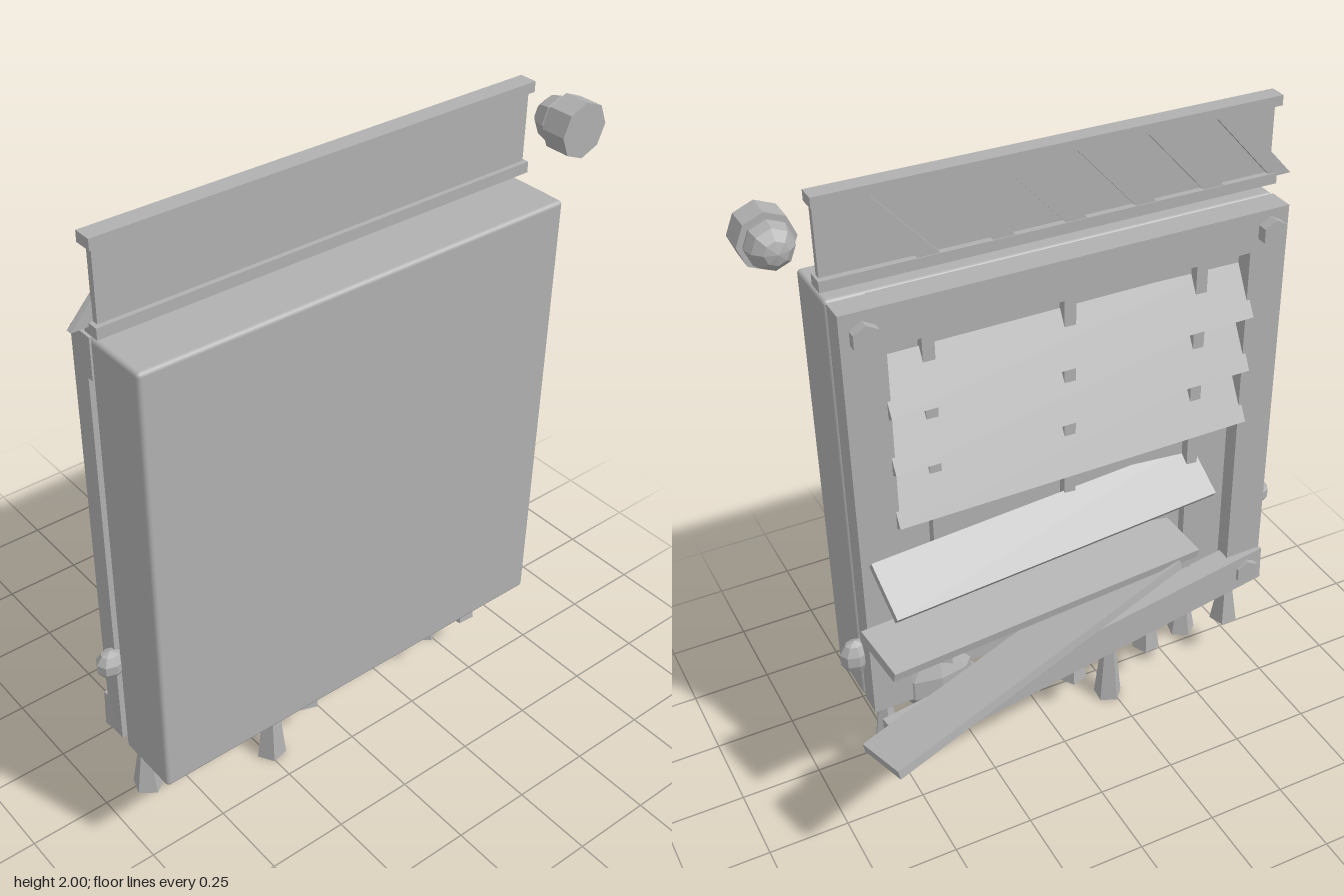
import * as THREE from 'three';
import { RoundedBoxGeometry } from 'three/addons/geometries/RoundedBoxGeometry.js';

export function createModel() {
  const root = new THREE.Group();
  const grey = new THREE.MeshStandardMaterial({ color: 0xb0b0b0 });
  grey.name = 'plain grey';

  const add = (name, geo, x = 0, y = 0, z = 0) => {
    const m = new THREE.Mesh(geo, grey);
    m.name = name;
    m.position.set(x, y, z);
    root.add(m);
    return m;
  };
  // box from its lower and upper corners
  const box = (name, a, b) => add(name,
    new THREE.BoxGeometry(b[0] - a[0], b[1] - a[1], b[2] - a[2]),
    (a[0] + b[0]) / 2, (a[1] + b[1]) / 2, (a[2] + b[2]) / 2);
  // faceted copy of a geometry
  const facet = (geo) => {
    const g = geo.toNonIndexed();
    g.computeVertexNormals();
    return g;
  };
  // board between two end centres, with its width along w
  const board = (name, a, b, w, width, thick) => {
    const p = new THREE.Vector3(...a), q = new THREE.Vector3(...b);
    const X = q.clone().sub(p), len = X.length();
    X.normalize();
    const Y = new THREE.Vector3(...w);
    Y.addScaledVector(X, -Y.dot(X)).normalize();
    const Z = X.clone().cross(Y);
    const m = add(name, new THREE.BoxGeometry(len, width, thick));
    m.quaternion.setFromRotationMatrix(new THREE.Matrix4().makeBasis(X, Y, Z));
    m.position.copy(p.add(q).multiplyScalar(0.5));
    return m;
  };

  // front slab and its backing
  add('frontPanel', new RoundedBoxGeometry(1.354, 1.354, 0.203, 2, 0.012), -0.063, 1.037, 0.2395);
  box('backingPlate', [-0.72, 0.38, 0.11], [0.595, 1.6, 0.14]);

  // frame on the back
  box('leftPost', [0.49, 0.37, 0.042], [0.614, 1.72, 0.116]);
  box('rightPost', [-0.74, 0.37, 0.055], [-0.62, 1.6, 0.118]);
  box('topRail', [-0.74, 1.59, 0.055], [0.5, 1.712, 0.137]);
  board('looseBottomRail', [-0.74, 0.435, 0.08], [0.625, 0.392, -0.11], [0, 1, 0], 0.12, 0.075);

  // hexagonal bolts
  for (const [x, y, z] of [[-0.68, 1.65, 0.04], [0.55, 1.65, 0.032], [-0.68, 0.435, 0.035]]) {
    const g = facet(new THREE.CylinderGeometry(0.042, 0.042, 0.035, 6));
    add('bolt', g, x, y, z).rotation.x = Math.PI / 2;
  }

  // upright rods and louvre slats
  for (const x of [-0.48, -0.06, 0.36]) box('slatRod', [x - 0.018, 0.4, 0.08], [x + 0.018, 1.6, 0.115]);
  for (const y of [1.46, 1.28, 1.1]) {
    board('slat', [-0.63, y, 0.082], [0.5, y, 0.07], [0, 0.15, 0.085], 0.17, 0.025);
  }

  // slats hanging loose
  board('looseSlat', [-0.51, 0.87, 0.07], [0.585, 0.88, -0.04], [0.015, 0.11, 0.145], 0.175, 0.025);
  board('looseSlat', [-0.43, 0.66, 0.045], [0.66, 0.775, -0.16], [0.025, 0.035, 0.17], 0.175, 0.03);
  board('looseSlat', [-0.35, 0.63, 0.02], [0.71, 0.485, -0.26], [0.04, -0.02, 0.165], 0.17, 0.03);

  // header beam with flanges and slanted ribs on the back
  box('headerWeb', [-0.74, 1.75, 0.162], [0.612, 1.99, 0.182]);
  box('headerTopFlange', [-0.752, 1.97, 0.143], [0.62, 2, 0.196]);
  box('headerBottomFlange', [-0.752, 1.738, 0.143], [0.62, 1.77, 0.196]);
  for (let i = 0; i < 6; i++) {
    const x = 0.54 - i * 0.215, s = 0.2, w = 0.065;
    const shape = new THREE.Shape([
      new THREE.Vector2(x - w, 1.98), new THREE.Vector2(x - w - s, 1.76),
      new THREE.Vector2(x - s, 1.76), new THREE.Vector2(x, 1.98)]);
    add('headerRib', new THREE.ExtrudeGeometry(shape, { depth: 0.018, bevelEnabled: false }), 0, 0, 0.146);
  }

  // lamp beside the header
  const cap = add('lampRing', facet(new THREE.CylinderGeometry(0.08, 0.08, 0.078, 8)), 0.715, 1.87, 0.26);
  cap.rotation.x = Math.PI / 2;
  const dome = add('lampDome', facet(new THREE.SphereGeometry(0.067, 8, 6)), 0.715, 1.87, 0.205);
  dome.rotation.x = Math.PI / 2;

  // faceted lumps on the edges
  const lumps = [
    [-0.56, 0.36, 0.085, 0.06], [-0.27, 0.36, 0.118, 0.11], [0.055, 0.36, 0.105, 0.08],
    [0.385, 0.36, 0.128, 0.11], [-0.755, 0.67, 0.045, 0.045], [0.632, 0.545, 0.05, 0.058]];
  for (const [x, y, rx, ry] of lumps) {
    const rz = y < 0.4 ? 0.06 : 0.037;
    const g = new THREE.SphereGeometry(1, 8, 5);
    g.scale(rx, ry, rz);
    add('lump', facet(g), x, y, 0.118);
  }

  // flared spikes under the panel: x, top, bottom
  const spikes = [
    [-0.68, 0.345, 0.16], [-0.51, 0.345, 0.175], [-0.375, 0.345, 0.16],
    [-0.235, 0.29, 0], [-0.1, 0.345, 0.135], [0.06, 0.345, 0.16],
    [0.265, 0.345, 0.16], [0.39, 0.345, 0.14], [0.55, 0.345, 0.13]];
  spikes.forEach(([x, top, bottom], i) => {
    const g = facet(new THREE.CylinderGeometry(0.016, 0.047, top - bottom, 5));
    add('spike', g, x, (top + bottom) / 2, 0.138).rotation.y = i * 0.7;
  });

  return root;
}
